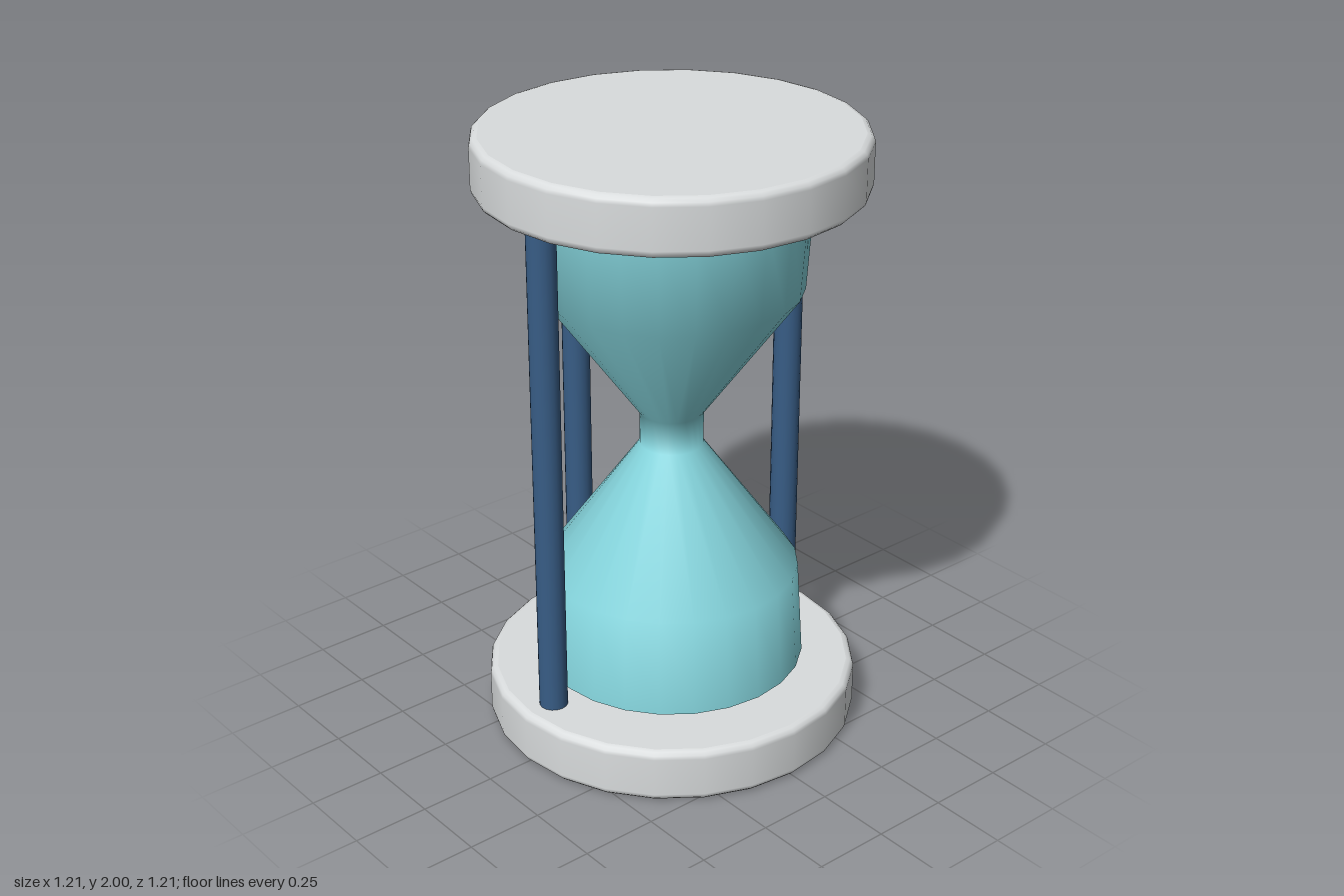
import * as THREE from 'three';

const SIDES = 24;

function mat(name, color) {
  const m = new THREE.MeshStandardMaterial({ color });
  m.name = name;
  return m;
}

function add(parent, name, geometry, material) {
  const mesh = new THREE.Mesh(geometry, material);
  mesh.name = name;
  parent.add(mesh);
  return mesh;
}

function lathe(points) {
  return new THREE.LatheGeometry(points.map(([r, y]) => new THREE.Vector2(r, y)), SIDES);
}

// Smooth turned body closed with a flat face at each end
function turned(name, points, material) {
  const group = new THREE.Group();
  group.name = name;
  add(group, name + 'Side', lathe(points), material);
  const [r0, y0] = points[0];
  const [r1, y1] = points[points.length - 1];
  add(group, name + 'Underside', lathe([[0, y0], [r0, y0]]), material);
  add(group, name + 'Top', lathe([[r1, y1], [0, y1]]), material);
  return group;
}

export function createModel() {
  const model = new THREE.Group();
  model.name = 'hourglass';
  const plateMat = mat('pale grey', 0xd9dcdd);
  const glassMat = mat('aqua glass', 0x86d6de);
  const postMat = mat('navy blue', 0x385d86);

  // Round end plates with softened rims
  const R = 0.605, H = 0.18, B = 0.025;
  const rim = [];
  for (let i = 0; i <= 3; i++) {
    const a = (i / 3) * Math.PI / 2;
    rim.push([R - B + B * Math.sin(a), B - B * Math.cos(a)]);
  }
  const profile = [...rim, ...rim.map(([r, y]) => [r, H - y]).reverse()];
  for (const [name, y] of [['bottomPlate', 0], ['topPlate', 2 - H]]) {
    const plate = turned(name, profile, plateMat);
    plate.position.y = y;
    model.add(plate);
  }

  // Two bulbs joined by a narrow neck
  model.add(turned('glassBulbs', [
    [0.432, 0.21], [0.412, 0.53], [0.102, 0.96],
    [0.102, 1.07], [0.412, 1.5], [0.432, 1.81],
  ], glassMat));

  // Three posts: left, right and back
  const postGeo = new THREE.CylinderGeometry(0.046, 0.046, 1.66, 16);
  for (const [name, x, z] of [['leftPost', 0.492, 0], ['rightPost', -0.492, 0], ['backPost', 0, -0.492]]) {
    add(model, name, postGeo, postMat).position.set(x, 1, z);
  }
  return model;
}
